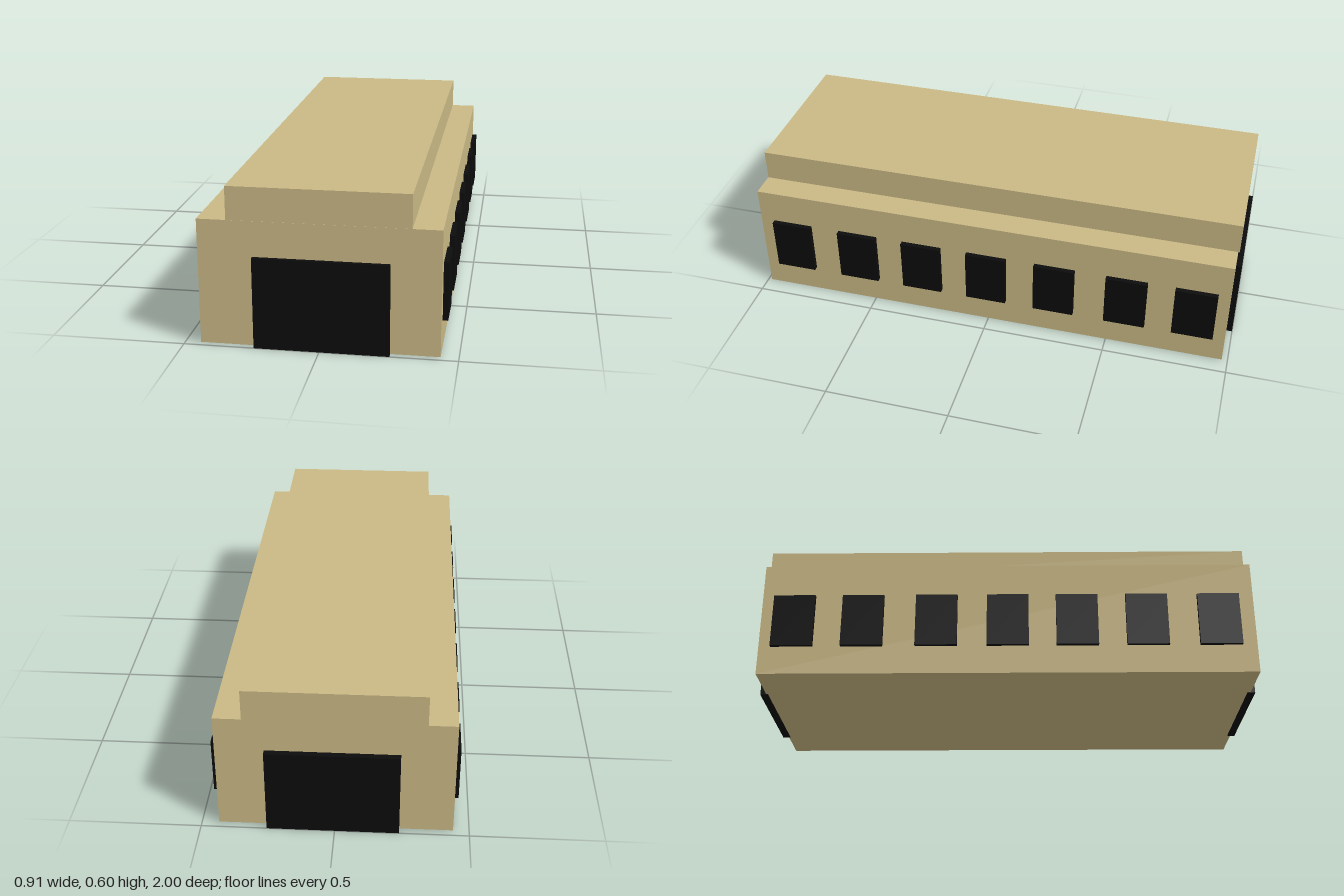
import * as THREE from 'three';

export function createModel() {
  const model = new THREE.Group();
  const wall = new THREE.MeshStandardMaterial({ color: 0xcab985 });
  const dark = new THREE.MeshStandardMaterial({ color: 0x0c0c0c });

  // Box given by its lowest and highest corners
  function block(name, material, [x0, y0, z0], [x1, y1, z1]) {
    const mesh = new THREE.Mesh(new THREE.BoxGeometry(x1 - x0, y1 - y0, z1 - z0), material);
    mesh.position.set((x0 + x1) / 2, (y0 + y1) / 2, (z0 + z1) / 2);
    mesh.name = name;
    model.add(mesh);
  }

  // Long hall with a narrower raised roof
  block('hall', wall, [-0.44, 0.004, -0.977], [0.435, 0.478, 0.983]);
  block('raisedRoof', wall, [-0.333, 0.478, -0.983], [0.329, 0.603, 0.982]);

  // Large doors at both ends
  block('frontDoor', dark, [-0.24, 0, 0.97], [0.254, 0.345, 1]);
  block('backDoor', dark, [-0.24, 0, -1], [0.254, 0.345, -0.97]);

  // Seven windows along each side
  for (const z of [0.842, 0.556, 0.279, 0.004, -0.279, -0.572, -0.847]) {
    block('leftWindow', dark, [0.42, 0.12, z - 0.083], [0.455, 0.34, z + 0.083]);
    block('rightWindow', dark, [-0.456, 0.12, z - 0.083], [-0.425, 0.34, z + 0.083]);
  }

  return model;
}
